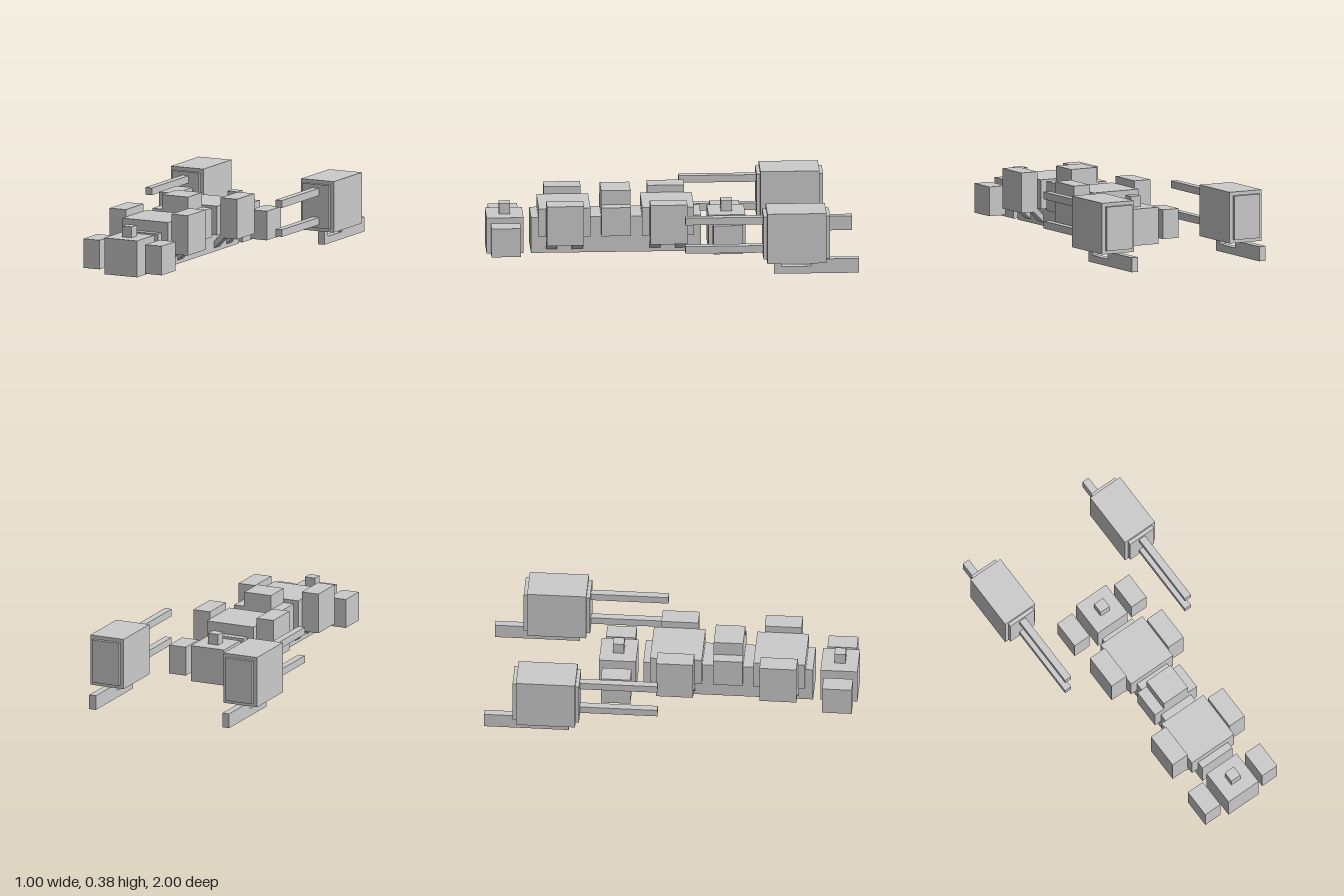
import * as THREE from 'three';

const material = new THREE.MeshStandardMaterial({ color: 0xcccccc, flatShading: true });

// Box given by its [min, max] range on each axis
function block(parent, name, [x0, x1], [y0, y1], [z0, z1]) {
  const mesh = new THREE.Mesh(new THREE.BoxGeometry(x1 - x0, y1 - y0, z1 - z0), material);
  mesh.position.set((x0 + x1) / 2, (y0 + y1) / 2, (z0 + z1) / 2);
  mesh.name = name;
  parent.add(mesh);
  return mesh;
}

function section(parent, name, z = 0) {
  const group = new THREE.Group();
  group.name = name;
  group.position.z = z;
  parent.add(group);
  return group;
}

const mirrored = (side, a, b) => (side > 0 ? [a, b] : [-b, -a]);

export function createModel() {
  const model = new THREE.Group();
  model.name = 'modularCraft';

  // Central hull beam
  block(model, 'hullBeam', [-0.1, 0.1], [0.04, 0.24], [-0.16, 0.76]);

  // Stepped tower amidships
  block(model, 'towerBase', [-0.14, 0.14], [0.14, 0.3], [0.22, 0.38]);
  block(model, 'towerTop', [-0.08, 0.08], [0.3, 0.38], [0.22, 0.38]);

  // Wide body modules with side pods and slanted struts
  for (const z of [0.58, 0.02]) {
    const module = section(model, 'bodyModule', z);
    block(module, 'bodyBlock', [-0.14, 0.14], [0.14, 0.3], [-0.14, 0.14]);
    for (const side of [-1, 1]) {
      block(module, 'sidePod', mirrored(side, 0.14, 0.24), [0.12, 0.34], [-0.1, 0.1]);
      for (const sz of [-0.07, 0.07]) {
        const strut = block(module, 'strut', [-0.06, 0.06], [-0.014, 0.014], [sz - 0.03, sz + 0.03]);
        strut.position.set(side * 0.13, 0.11, sz);
        strut.rotation.z = side * Math.PI / 4;
      }
    }
  }

  // Detached nose and tail modules
  for (const [name, z] of [['noseModule', 0.9], ['tailModule', -0.3]]) {
    const module = section(model, name, z);
    block(module, 'endBlock', [-0.1, 0.1], [0.04, 0.24], [-0.1, 0.1]);
    block(module, 'topKnob', [-0.03, 0.03], [0.24, 0.3], [-0.03, 0.03]);
    for (const side of [-1, 1]) {
      block(module, 'endPod', mirrored(side, 0.14, 0.24), [0.06, 0.22], [-0.08, 0.08]);
    }
  }

  // Outboard engines with forward rods and a rear skid
  for (const side of [-1, 1]) {
    const engine = section(model, side > 0 ? 'leftEngine' : 'rightEngine');
    const narrow = mirrored(side, 0.38, 0.42);
    block(engine, 'engineBody', mirrored(side, 0.3, 0.5), [0.08, 0.36], [-0.82, -0.5]);
    for (const z of [[-0.5, -0.48], [-0.84, -0.82]]) {
      block(engine, 'endPlate', mirrored(side, 0.32, 0.48), [0.1, 0.34], z);
    }
    for (const y of [0.12, 0.28]) {
      block(engine, 'forwardRod', narrow, [y, y + 0.04], [-0.48, -0.06]);
    }
    block(engine, 'skidRail', narrow, [0, 0.04], [-1, -0.54]);
    block(engine, 'skidPost', narrow, [0.04, 0.08], [-0.58, -0.54]);
    block(engine, 'skidTail', narrow, [0.04, 0.08], [-1, -0.74]);
  }

  return model;
}
